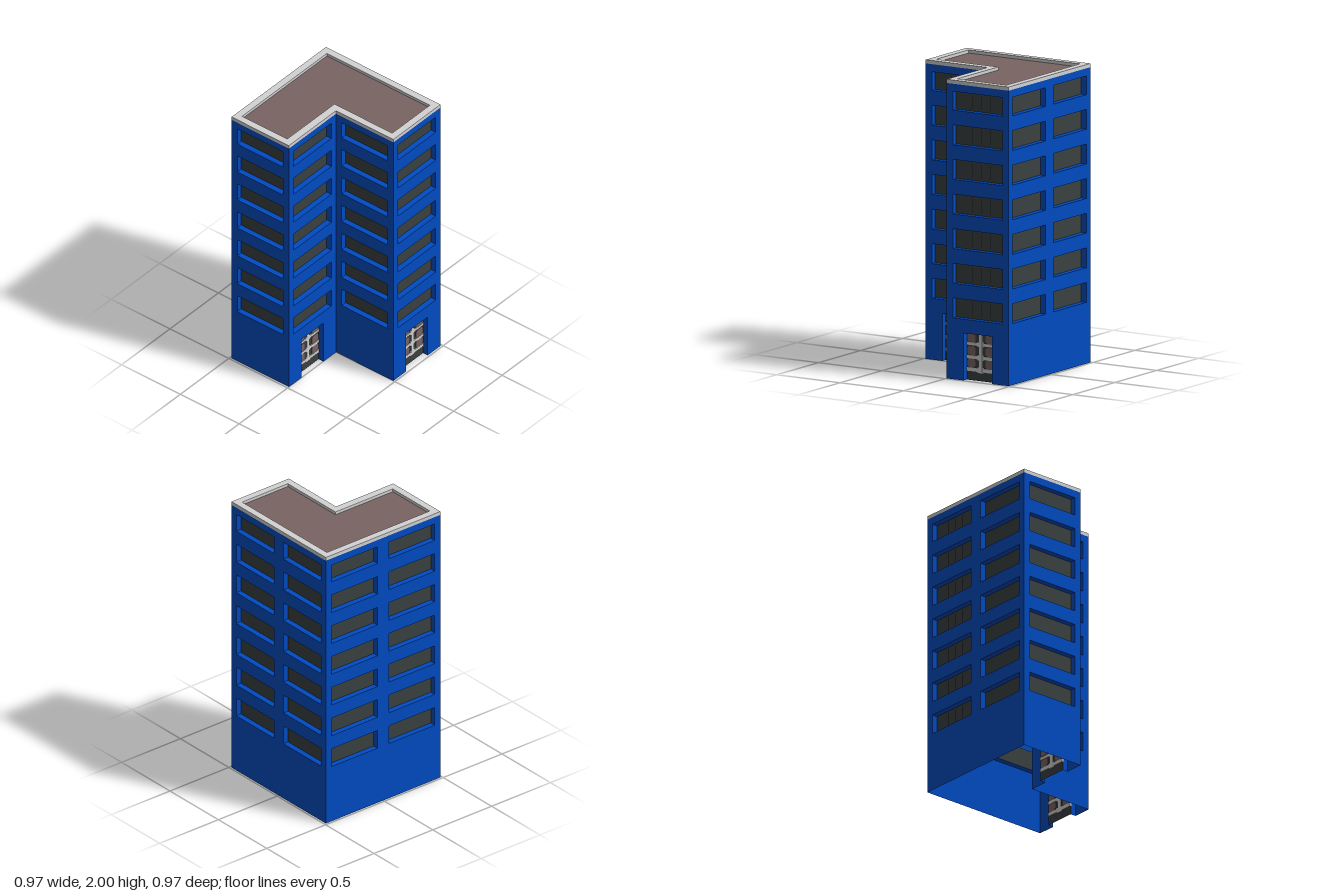
import * as THREE from 'three';
import { mergeGeometries } from 'three/addons/utils/BufferGeometryUtils.js';

const H = 0.487, Q = H / 2;          // half footprint, half wall bay
const WALL_TOP = 1.975;
const WIN_W = 0.39, WIN_H = 0.133, WIN_Y = 0.41, PITCH = 0.2315, FLOORS = 7;
const DOOR_W = 0.224, DOOR_H = 0.317, DEPTH = 0.04;

const mat = (name, color, side = THREE.FrontSide) => {
  const m = new THREE.MeshStandardMaterial({ color, side });
  m.name = name;
  return m;
};
const points = list => list.map(p => new THREE.Vector2(...p));

export function createModel() {
  const blue = mat('blue wall', 0x004bc1, THREE.DoubleSide);
  const glass = mat('dark glass', 0x3a4040, THREE.DoubleSide);
  const grey = mat('light grey trim', 0xd3d3d3);
  const brown = mat('brown', 0x7a6363);

  const model = new THREE.Group();
  model.name = 'officeBuilding';
  const add = (parent, name, geo, material) => {
    const mesh = new THREE.Mesh(geo, material);
    mesh.name = name;
    parent.add(mesh);
  };

  // Inner sides of a recess: a box stripped of front and back (and floor for doors)
  const recess = (w, h, y, sides) => {
    const g = new THREE.BoxGeometry(w, h, DEPTH);
    g.setIndex(Array.from(g.index.array).slice(0, sides * 6));
    g.clearGroups();
    return g.translate(0, y + h / 2, -DEPTH / 2);
  };
  const box = (w, h, d, y) => new THREE.BoxGeometry(w, h, d).translate(0, y, -DEPTH);
  const pane = (w, h, y) => new THREE.PlaneGeometry(w, h).translate(0, y + h / 2, -DEPTH);

  // Door leaf: dark pane, grey bars and chamfered brown panels, on both faces
  function buildDoor() {
    const door = new THREE.Group();
    door.name = 'door';
    add(door, 'doorGlass', pane(DOOR_W, DOOR_H, 0), glass);
    const bars = [box(0.027, DOOR_H - 0.06, 0.012, DOOR_H / 2 + 0.03)];
    for (const [y, h] of [[0.0725, 0.024], [0.155, 0.021], [0.244, 0.018]])
      bars.push(box(DOOR_W, h, 0.011, y), box(0.048, h + 0.014, 0.01, y));
    add(door, 'doorBars', mergeGeometries(bars), grey);
    const panels = [];
    for (const x of [-0.072, 0.072])
      for (const y of [0.115, 0.198, 0.285]) {
        const a = 0.035, b = 0.031, c = 0.015;
        const s = new THREE.Shape(points([[-a + c, -b], [a - c, -b], [a, -b + c], [a, b - c],
          [a - c, b], [-a + c, b], [-a, b - c], [-a, -b + c]]));
        panels.push(new THREE.ExtrudeGeometry(s, { depth: 0.008, bevelEnabled: false })
          .translate(x, y, -DEPTH - 0.004));
      }
    add(door, 'doorPanels', mergeGeometries(panels), brown);
    return door;
  }

  // One wall bay facing +z, with a column of recessed windows
  function buildBay(name, x, z, turn, hasDoor, hasFins) {
    const bay = new THREE.Group();
    bay.name = name;
    const d = DOOR_W / 2;
    const outline = [[-Q, 0]];
    if (hasDoor) outline.push([-d, 0], [-d, DOOR_H], [d, DOOR_H], [d, 0]);
    outline.push([Q, 0], [Q, WALL_TOP], [-Q, WALL_TOP]);
    const shape = new THREE.Shape(points(outline));
    const sides = [], panes = [], fins = [];
    for (let i = 0; i < FLOORS; i++) {
      const y = WIN_Y + i * PITCH, w = WIN_W / 2;
      const h = i === FLOORS - 1 ? 0.125 : WIN_H;   // top row is a little lower
      shape.holes.push(new THREE.Path(points([[-w, y], [-w, y + h], [w, y + h], [w, y]])));
      sides.push(recess(WIN_W, h, y, 4));
      panes.push(pane(WIN_W, h, y));
      // Thin upright fins, showing from one side only
      for (const u of [-0.07, 0, 0.07])
        fins.push(new THREE.PlaneGeometry(0.006, h * 0.7).rotateY(Math.PI / 2)
          .translate(u, y + h / 2, -DEPTH + 0.003));
    }
    if (hasDoor) {
      sides.push(recess(DOOR_W, DOOR_H, 0, 3));
      bay.add(buildDoor());
    }
    add(bay, 'wall', mergeGeometries([new THREE.ShapeGeometry(shape), ...sides]), blue);
    add(bay, 'windows', mergeGeometries(panes), glass);
    if (hasFins) add(bay, 'windowFins', mergeGeometries(fins), brown);
    bay.position.set(x, 0, z);
    bay.rotation.y = turn;
    model.add(bay);
  }

  const R = Math.PI / 2;
  buildBay('frontWingWall', Q, H, 0, true, true);
  buildBay('frontInnerWall', -Q, 0, 0, true, true);
  buildBay('sideWallFront', H, Q, R, false, false);
  buildBay('sideWallBack', H, -Q, R, false, false);
  buildBay('backWallLeft', Q, -H, 2 * R, false, true);
  buildBay('backWallRight', -Q, -H, 2 * R, false, false);
  buildBay('farSideWall', -H, -Q, -R, false, false);
  buildBay('courtyardWall', 0, Q, -R, false, false);

  // L-shaped footprint, inset by t; shape y is -z
  const footprint = t => points([[-H + t, t * 1.1], [t, t * 1.1], [t, -H + t], [H - t, -H + t],
    [H - t, H - t], [-H + t, H - t]]);
  const rim = new THREE.Shape(footprint(0));
  rim.holes.push(new THREE.Path(footprint(0.049)));
  add(model, 'parapet', new THREE.ExtrudeGeometry(rim, { depth: 2 - WALL_TOP, bevelEnabled: false })
    .rotateX(-R).translate(0, WALL_TOP, 0), grey);
  add(model, 'roof', new THREE.ShapeGeometry(new THREE.Shape(footprint(0.048)))
    .rotateX(-R).translate(0, WALL_TOP + 0.004, 0), brown);

  return model;
}
